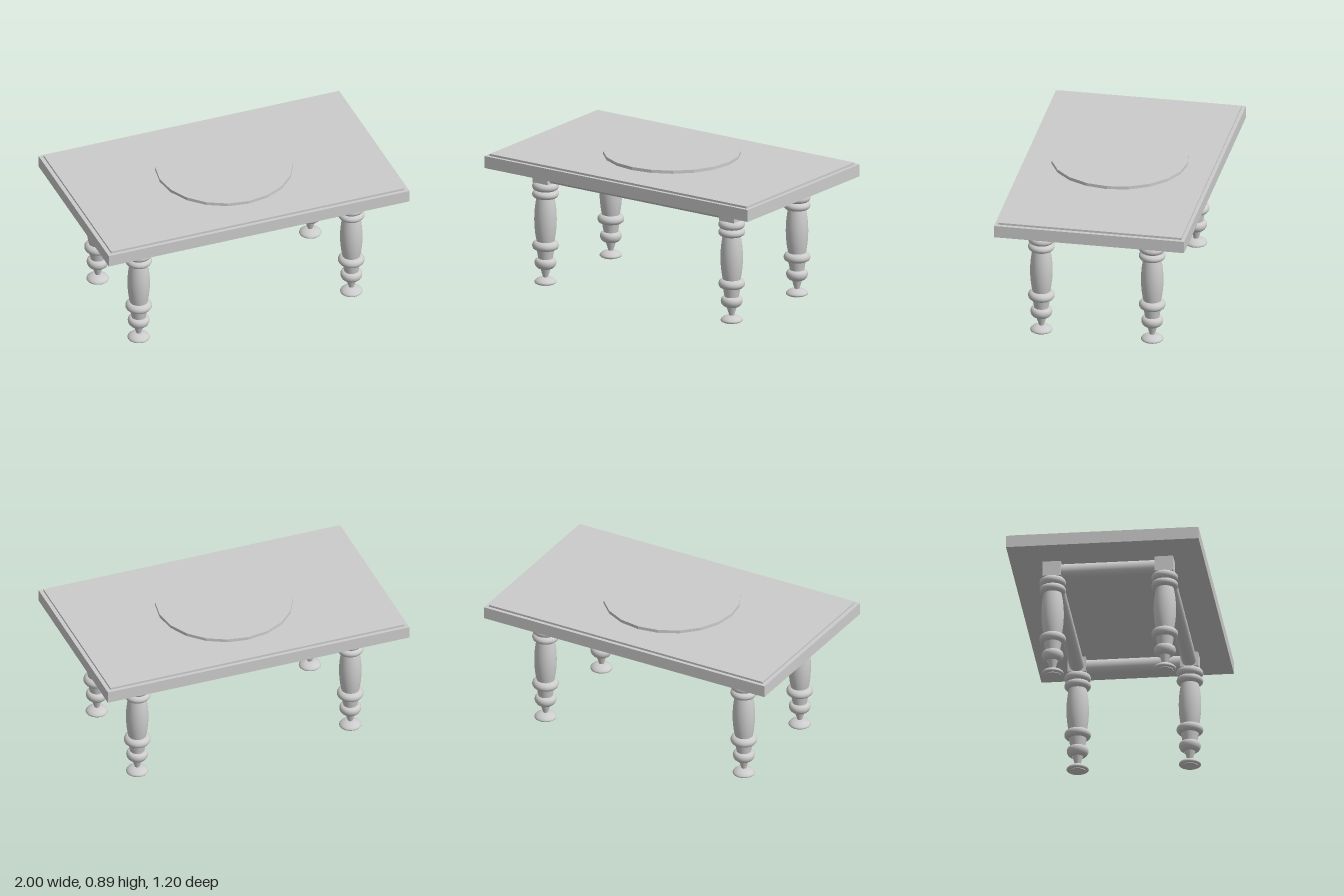
import * as THREE from 'three';

const material = new THREE.MeshStandardMaterial({ color: 0xcccccc, side: THREE.DoubleSide });

function add(parent, name, geometry, x = 0, y = 0, z = 0) {
  const mesh = new THREE.Mesh(geometry, material);
  mesh.name = name;
  mesh.position.set(x, y, z);
  parent.add(mesh);
  return mesh;
}

// Turned section between two heights: radius swells from a straight taper to a rounded belly
function turning(y0, y1, r0, r1, bulge, power = 0.5, steps = 14) {
  const points = [];
  for (let i = 0; i <= steps; i++) {
    const a = Math.PI * i / steps;
    const t = (1 - Math.cos(a)) / 2;
    const swell = Math.pow(Math.max(0, 4 * t * (1 - t)), power);
    points.push(new THREE.Vector2(r0 + (r1 - r0) * t + bulge * swell, y0 + (y1 - y0) * t));
  }
  return new THREE.LatheGeometry(points, 32);
}

function makeLeg() {
  const leg = new THREE.Group();
  leg.name = 'leg';
  add(leg, 'footBase', new THREE.CylinderGeometry(0.052, 0.052, 0.004, 32), 0, 0.002, 0);
  add(leg, 'footBun', turning(0.004, 0.045, 0.052, 0.014, 0.031));
  add(leg, 'ankle', turning(0.04, 0.105, 0.014, 0.034, 0, 1, 2));
  add(leg, 'lowerBead', turning(0.1, 0.166, 0.034, 0.045, 0.028));
  add(leg, 'lowerTaper', turning(0.16, 0.228, 0.044, 0.056, 0, 1, 2));
  add(leg, 'middleBead', turning(0.222, 0.279, 0.055, 0.053, 0.029));
  add(leg, 'vase', turning(0.275, 0.562, 0.055, 0.055, 0.015, 1));
  add(leg, 'collarBead', turning(0.558, 0.608, 0.055, 0.055, 0.028));
  add(leg, 'topBead', turning(0.607, 0.661, 0.055, 0.055, 0.028));
  add(leg, 'legBlock', new THREE.BoxGeometry(0.114, 0.098, 0.114), 0, 0.709, 0);
  return leg;
}

// Toothed bearing outline
function gearGeometry(teeth, inner, outer, depth) {
  const shape = new THREE.Shape();
  for (let i = 0; i < teeth * 4; i++) {
    const a = (i + 0.5) / (teeth * 4) * Math.PI * 2;
    const r = i % 4 < 2 ? outer : inner;
    const x = r * Math.cos(a), y = r * Math.sin(a);
    if (i) shape.lineTo(x, y); else shape.moveTo(x, y);
  }
  shape.closePath();
  return new THREE.ExtrudeGeometry(shape, { depth, bevelEnabled: false }).rotateX(-Math.PI / 2);
}

export function createModel() {
  const table = new THREE.Group();
  table.name = 'table';
  const legX = 0.707, frontZ = 0.358, backZ = -0.342;

  // Top with a slightly inset raised panel
  add(table, 'tabletop', new THREE.BoxGeometry(2, 0.077, 1.2), 0, 0.7955, 0);
  add(table, 'topPanel', new THREE.BoxGeometry(1.95, 0.014, 1.156), 0, 0.84, 0);

  // Turntable on its bearing
  add(table, 'turntableBearing', gearGeometry(20, 0.066, 0.074, 0.03), 0, 0.846, 0);
  const plate = new THREE.CylinderGeometry(0.427, 0.427, 0.02, 20).toNonIndexed();
  plate.computeVertexNormals();
  add(table, 'turntablePlate', plate, 0, 0.885, 0);

  // Legs
  for (const x of [-legX, legX]) {
    for (const z of [frontZ, backZ]) {
      const leg = makeLeg();
      leg.position.set(x, 0, z);
      table.add(leg);
    }
  }

  // Round rails joining the leg blocks
  const rail = length => new THREE.CylinderGeometry(0.047, 0.047, length, 32);
  for (const z of [frontZ, backZ]) {
    add(table, 'longRail', rail(2 * legX - 0.1).rotateZ(Math.PI / 2), 0, 0.707, z);
  }
  for (const x of [-legX, legX]) {
    add(table, 'shortRail', rail(frontZ - backZ - 0.1).rotateX(Math.PI / 2), x, 0.707, (frontZ + backZ) / 2);
  }
  return table;
}
